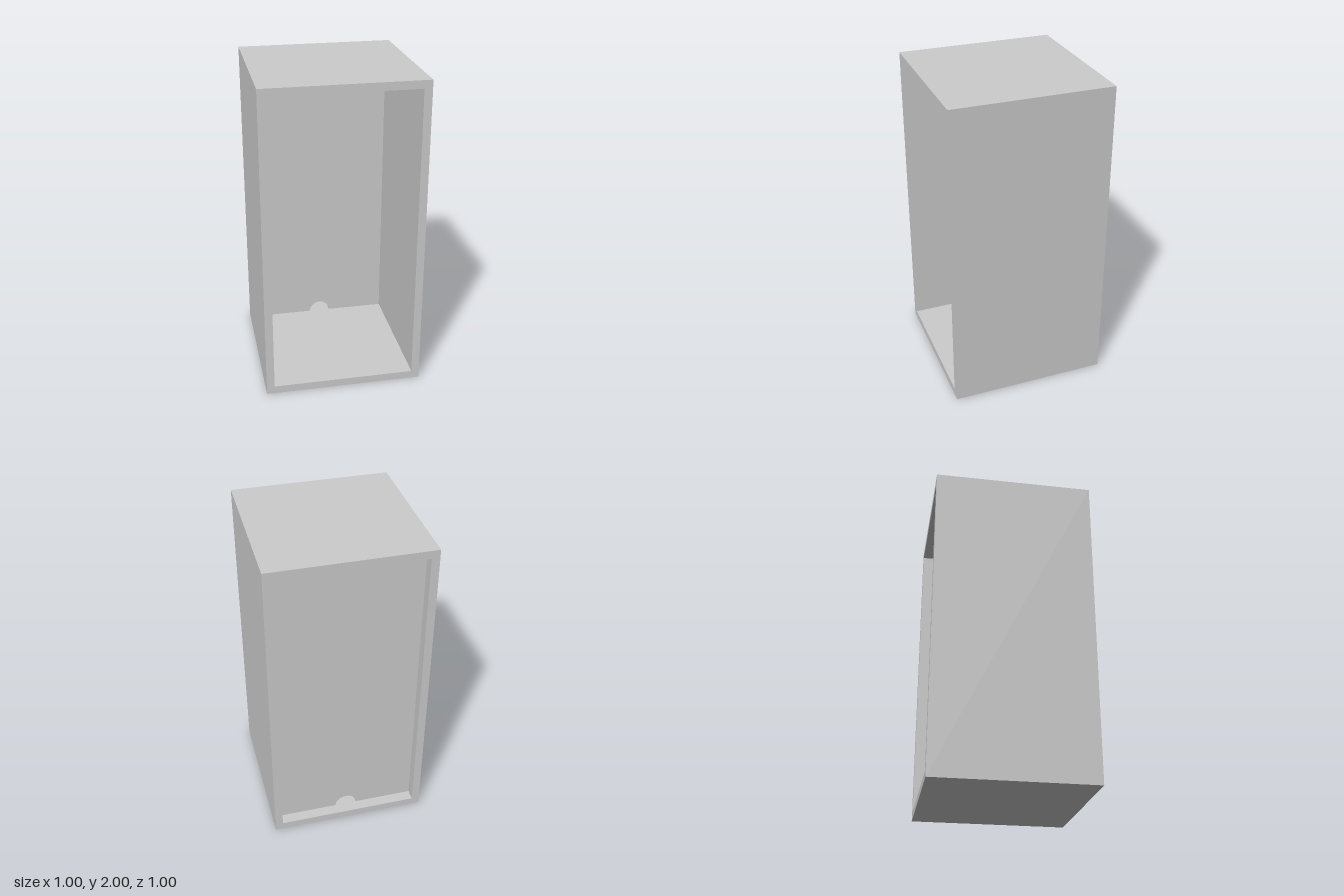
import * as THREE from 'three';

const material = new THREE.MeshStandardMaterial({ color: 0xcccccc });
const WALL = 0.05;
const HALF = 0.5;
const HEIGHT = 2;

// Extrude a front outline between two depths
function slab(name, shape, zBack, zFront) {
  const geometry = new THREE.ExtrudeGeometry(shape, {
    depth: zFront - zBack, bevelEnabled: false, curveSegments: 32,
  });
  geometry.translate(0, 0, zBack);
  const mesh = new THREE.Mesh(geometry, material);
  mesh.name = name;
  return mesh;
}

// Trace a rectangle onto a shape or a hole path
function rectangle(path, x0, y0, x1, y1) {
  path.moveTo(x0, y0);
  path.lineTo(x1, y0);
  path.lineTo(x1, y1);
  path.lineTo(x0, y1);
  path.closePath();
  return path;
}

export function createModel() {
  const group = new THREE.Group();
  group.name = 'cabinet';
  const inner = HALF - WALL;

  // Casing: sides, top and floor as one rectangular tube
  const casing = rectangle(new THREE.Shape(), -HALF, 0, HALF, HEIGHT);
  casing.holes.push(rectangle(new THREE.Path(), -inner, WALL, inner, HEIGHT - WALL));
  group.add(slab('casing', casing, -HALF, HALF));

  // Recessed back panel with a half-round cable notch at the floor
  const notch = 0.07;
  const panel = new THREE.Shape();
  panel.moveTo(-inner, WALL);
  panel.lineTo(-notch, WALL);
  panel.absarc(0, WALL, notch, Math.PI, 0, true);
  panel.lineTo(inner, WALL);
  panel.lineTo(inner, HEIGHT - WALL);
  panel.lineTo(-inner, HEIGHT - WALL);
  panel.closePath();
  group.add(slab('backPanel', panel, -0.43, -0.38));

  return group;
}
